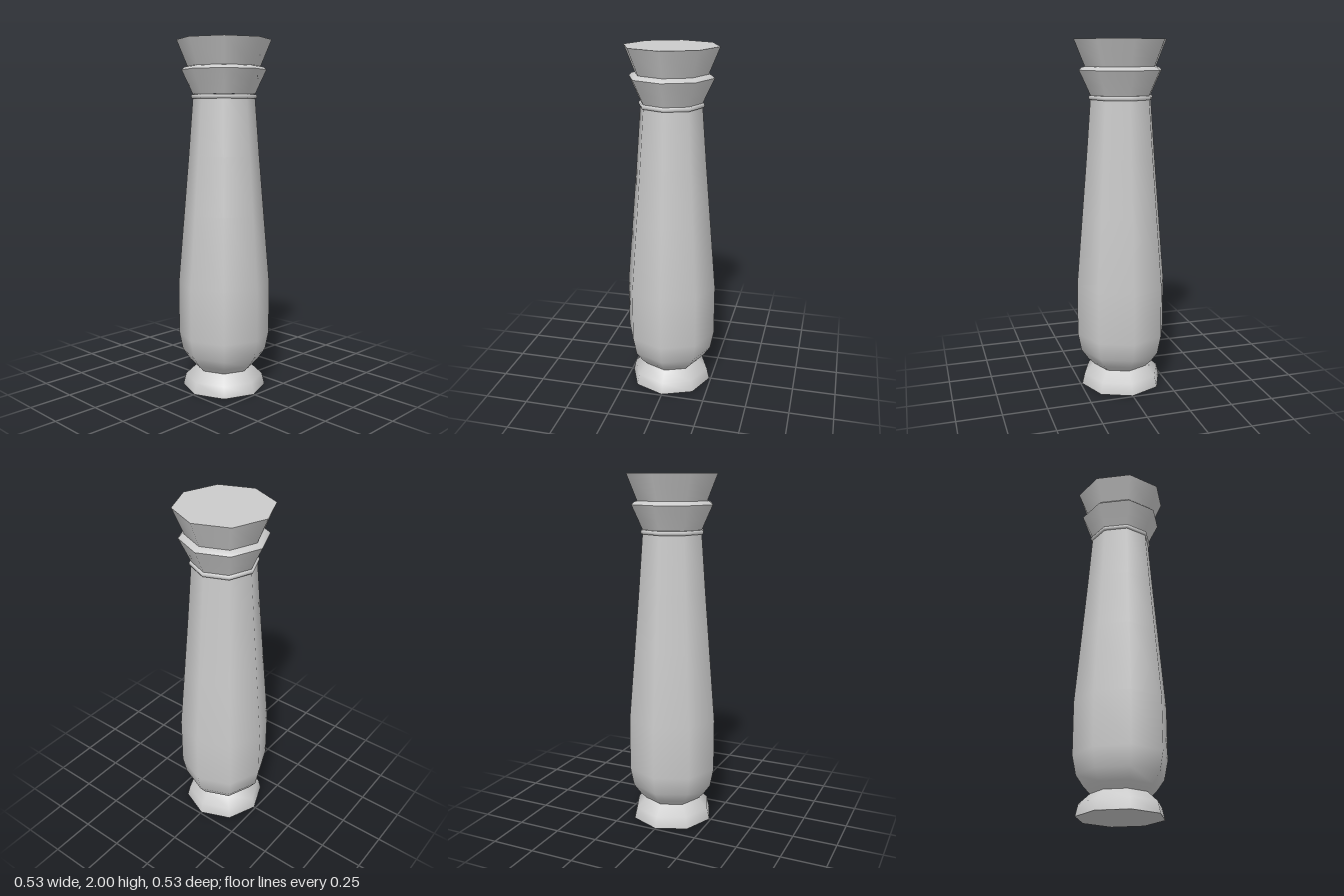
import * as THREE from 'three';

const SIDES = 8;
const material = new THREE.MeshStandardMaterial({ color: 0xcccccc });

// Octagonal turned part; profile is [radius, height] from bottom to top
function turned(name, profile) {
  const points = profile.map(([r, y]) => new THREE.Vector2(r, y));
  const mesh = new THREE.Mesh(new THREE.LatheGeometry(points, SIDES), material);
  mesh.name = name;
  return mesh;
}

export function createModel() {
  const column = new THREE.Group();
  column.name = 'column';

  column.add(
    // Foot: closed underneath, tapering into the neck
    turned('footUnderside', [[0, 0], [0.24, 0]]),
    turned('foot', [[0.24, 0], [0.225, 0.065], [0.165, 0.12]]),

    // Shaft: rounded belly, then a long taper
    turned('shaft', [
      [0.165, 0.12], [0.2, 0.155], [0.242, 0.215], [0.263, 0.32],
      [0.263, 0.62], [0.228, 1.03], [0.2, 1.36], [0.175, 1.68],
    ]),

    // Thin bead around the top of the shaft
    turned('bead', [
      [0.17, 1.675], [0.182, 1.677], [0.186, 1.687], [0.182, 1.698], [0.17, 1.7],
    ]),

    // Flared collar with a bevelled lip
    turned('collar', [[0.175, 1.7], [0.2, 1.755], [0.238, 1.835]]),
    turned('collarLip', [[0.238, 1.835], [0.222, 1.85], [0.2, 1.856]]),

    // Flared capital with a flat top
    turned('capital', [[0.205, 1.855], [0.265, 2]]),
    turned('capitalTop', [[0.265, 2], [0, 2]]),
  );

  return column;
}
